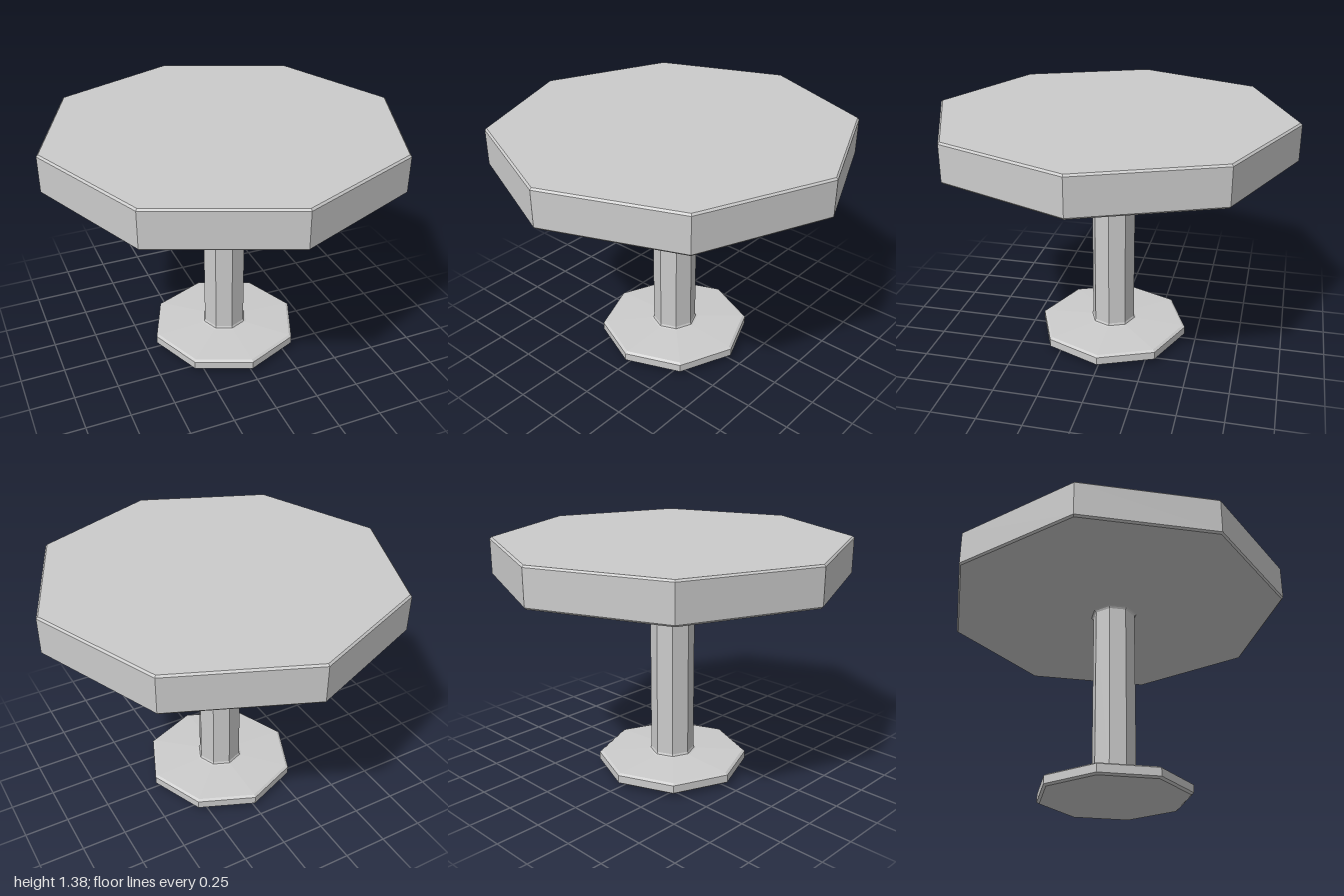
import * as THREE from 'three';

const material = new THREE.MeshStandardMaterial({ color: 0xcccccc, flatShading: true });

// Eight-sided turned part; the profile lists [radius, height] from bottom to top.
function octagonalPart(name, profile) {
  const points = profile.map(([r, y]) => new THREE.Vector2(r, y));
  const mesh = new THREE.Mesh(new THREE.LatheGeometry(points, 8), material);
  mesh.name = name;
  return mesh;
}

export function createModel() {
  const table = new THREE.Group();
  table.name = 'pedestalTable';

  // Foot plate, slightly domed above and below
  table.add(octagonalPart('base', [
    [0, 0], [0.42, 0.02], [0.435, 0.03], [0.435, 0.075], [0.42, 0.085], [0.13, 0.1], [0, 0.1],
  ]));

  // Column with a small flare at each end
  table.add(octagonalPart('column', [
    [0.145, 0.098], [0.13, 0.103], [0.125, 0.115], [0.125, 1.145], [0.13, 1.155], [0.14, 1.162],
  ]));

  // Thick top with narrow bevelled edges
  table.add(octagonalPart('tableTop', [
    [0, 1.16], [0.99, 1.16], [1, 1.17], [1, 1.365], [0.99, 1.375], [0, 1.375],
  ]));

  return table;
}
